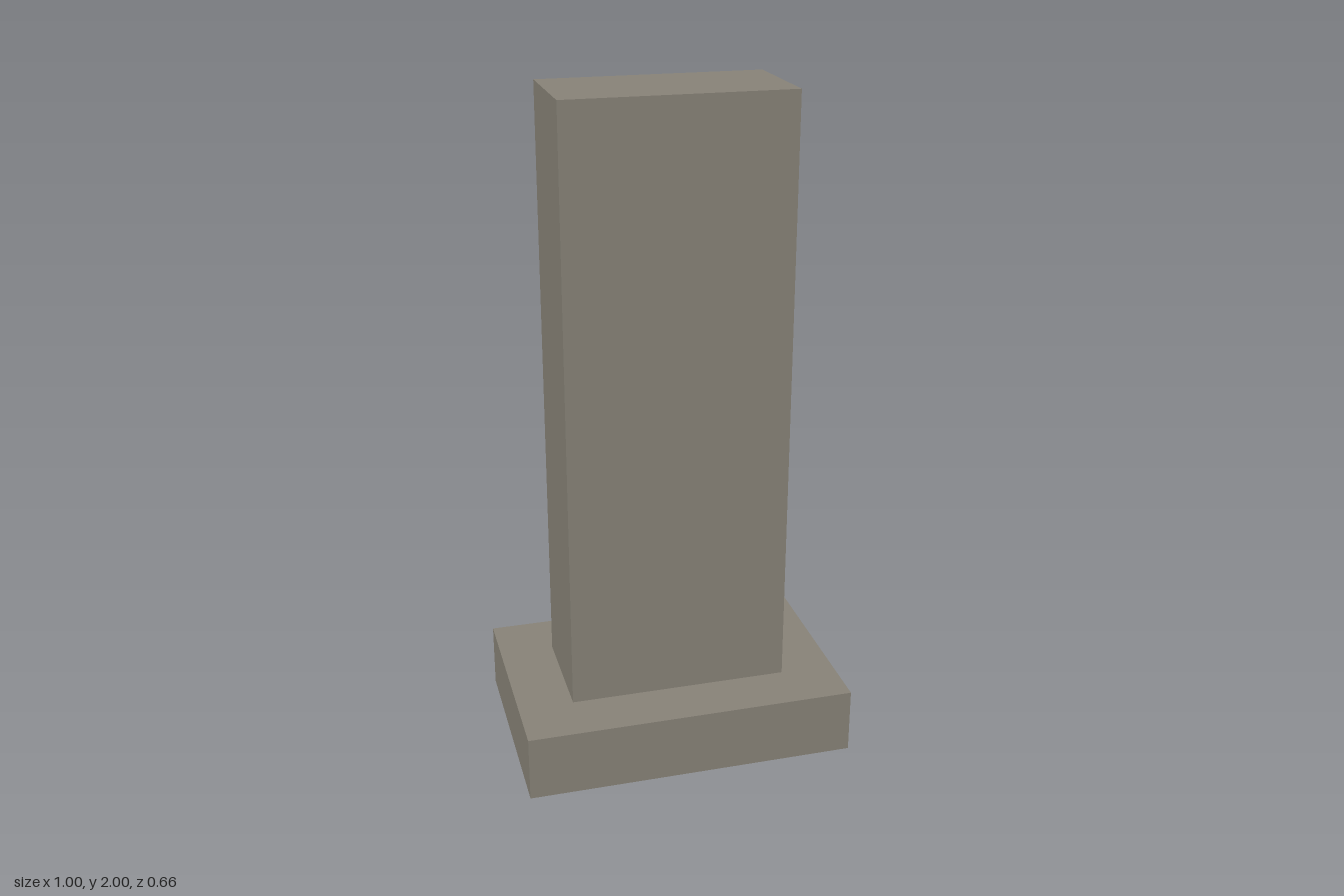
import * as THREE from 'three';

const stone = new THREE.MeshStandardMaterial({ color: 0x888378 });
stone.name = 'stone';

// Box standing on y = 0
function block(name, width, height, depth) {
  const mesh = new THREE.Mesh(new THREE.BoxGeometry(width, height, depth), stone);
  mesh.name = name;
  mesh.position.y = height / 2;
  return mesh;
}

export function createModel() {
  const model = new THREE.Group();
  model.name = 'stonePillar';
  // Wide plinth, with the shaft running through it to the ground
  model.add(block('plinth', 0.995, 0.2, 0.663));
  model.add(block('shaft', 0.663, 2, 0.333));
  return model;
}
